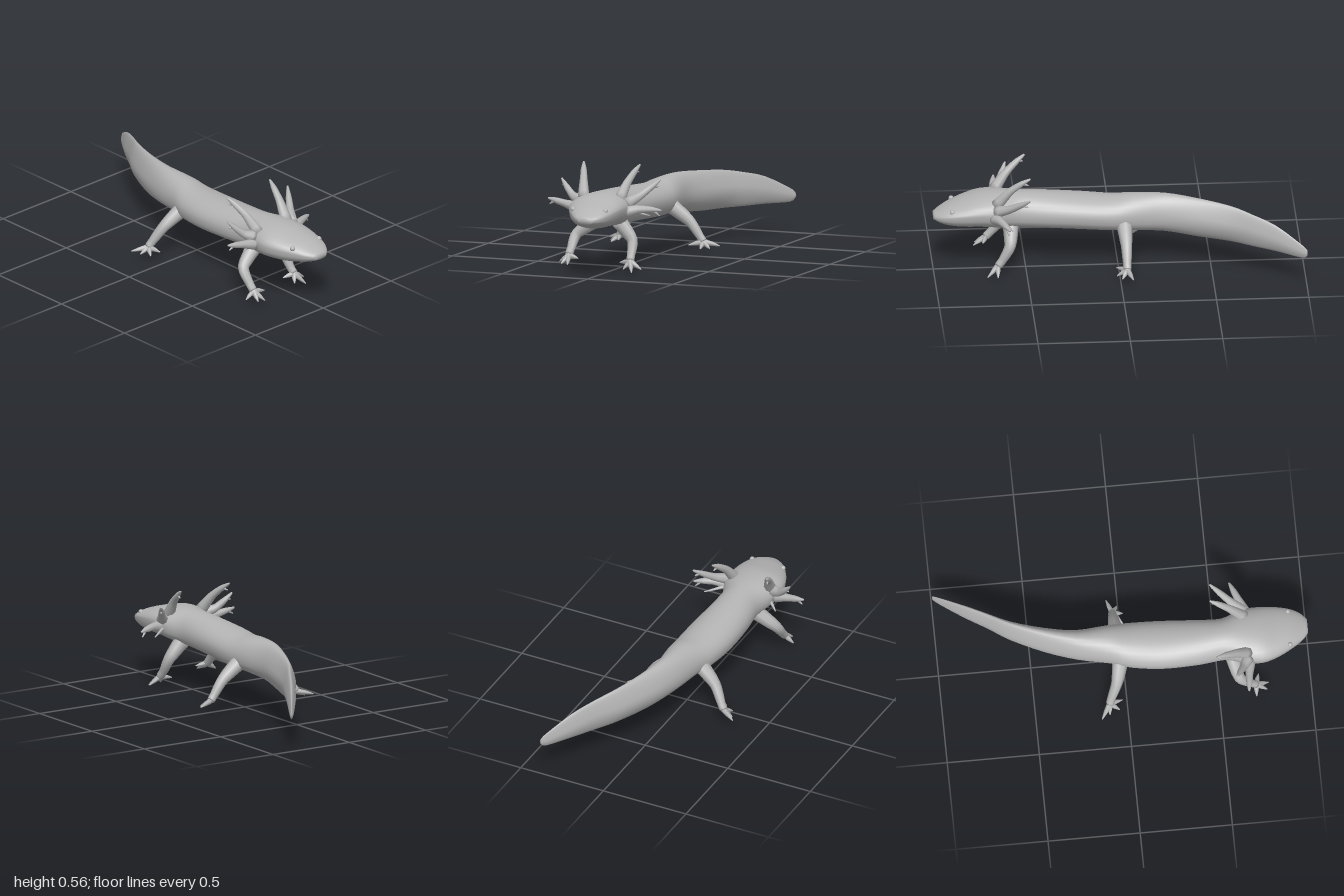
import * as THREE from 'three';

const skin = new THREE.MeshStandardMaterial({ color: 0xb4b4b4 });
skin.name = 'grey skin';

// Skins a list of equal-sized rings (counter-clockwise about the travel direction) and caps both ends
function loft(rings) {
  const n = rings[0].length, pos = [], idx = [];
  rings.forEach(r => r.forEach(p => pos.push(p.x, p.y, p.z)));
  for (let i = 0; i < rings.length - 1; i++) {
    for (let j = 0; j < n; j++) {
      const k = (j + 1) % n, a = i * n + j, b = i * n + k;
      idx.push(a, b, a + n, b, b + n, a + n);
    }
  }
  [0, rings.length - 1].forEach(i => {
    const c = new THREE.Vector3();
    rings[i].forEach(p => c.addScaledVector(p, 1 / n));
    const ci = pos.length / 3;
    pos.push(c.x, c.y, c.z);
    for (let j = 0; j < n; j++) {
      const a = i * n + j, b = i * n + (j + 1) % n;
      if (i === 0) idx.push(ci, b, a); else idx.push(ci, a, b);
    }
  });
  const g = new THREE.BufferGeometry();
  g.setAttribute('position', new THREE.Float32BufferAttribute(pos, 3));
  g.setIndex(idx);
  g.computeVertexNormals();
  return g;
}

// Tapered round limb through points [x, y, z, radius]
function limb(name, pts, steps = 10, sides = 8) {
  const curve = new THREE.CatmullRomCurve3(pts.map(p => new THREE.Vector3(p[0], p[1], p[2])), false, 'catmullrom', 0.35);
  const rings = [];
  for (let i = 0; i <= steps; i++) {
    const t = i / steps, f = t * (pts.length - 1), k = Math.min(Math.floor(f), pts.length - 2);
    const r = THREE.MathUtils.lerp(pts[k][3], pts[k + 1][3], f - k);
    const c = curve.getPoint(t), tan = curve.getTangent(t);
    const u = new THREE.Vector3(1, 0.2, 0.1).cross(tan).normalize();
    const v = tan.clone().cross(u);
    rings.push(Array.from({ length: sides }, (_, j) => {
      const a = j / sides * Math.PI * 2;
      return c.clone().addScaledVector(u, r * Math.cos(a)).addScaledVector(v, r * Math.sin(a));
    }));
  }
  return part(name, loft(rings));
}

function part(name, geometry) {
  const m = new THREE.Mesh(geometry, skin);
  m.name = name;
  return m;
}

// Trunk, tail and head: x, top, bottom, back z, front z, height of widest point
const SECTIONS = [
  [-1, 0.225, 0.19, -0.385, -0.37, 0.205],
  [-0.97, 0.25, 0.172, -0.372, -0.343, 0.205],
  [-0.84, 0.325, 0.175, -0.3, -0.24, 0.24],
  [-0.72, 0.36, 0.175, -0.235, -0.16, 0.26],
  [-0.6, 0.385, 0.177, -0.175, -0.075, 0.27],
  [-0.42, 0.403, 0.18, -0.117, 0.015, 0.28],
  [-0.25, 0.415, 0.198, -0.08, 0.075, 0.29],
  [-0.08, 0.412, 0.208, -0.09, 0.115, 0.3],
  [0.03, 0.398, 0.208, -0.095, 0.15, 0.3],
  [0.2, 0.405, 0.215, -0.088, 0.177, 0.31],
  [0.4, 0.42, 0.225, -0.072, 0.175, 0.315],
  [0.54, 0.43, 0.232, -0.065, 0.162, 0.32],
  [0.64, 0.432, 0.24, -0.1, 0.195, 0.34],
  [0.74, 0.425, 0.248, -0.105, 0.208, 0.35],
  [0.83, 0.402, 0.253, -0.1, 0.18, 0.345],
  [0.91, 0.378, 0.265, -0.085, 0.135, 0.335],
  [0.965, 0.352, 0.282, -0.06, 0.095, 0.325],
  [1, 0.333, 0.3, -0.025, 0.055, 0.317],
];

function bodyGeometry() {
  const A = new THREE.CatmullRomCurve3(SECTIONS.map(s => new THREE.Vector3(s[0], s[1], s[2])), false, 'catmullrom');
  const B = new THREE.CatmullRomCurve3(SECTIONS.map(s => new THREE.Vector3(s[3], s[4], s[5])), false, 'catmullrom');
  const rings = [], steps = (SECTIONS.length - 1) * 3, sides = 28;
  for (let i = 0; i <= steps; i++) {
    const a = A.getPoint(i / steps), b = B.getPoint(i / steps);
    const fin = 0.4 * (1 - THREE.MathUtils.smoothstep(a.x, -0.6, -0.1)); // tail narrows to a fin
    const mid = (b.x + b.y) / 2, half = (b.y - b.x) / 2;
    rings.push(Array.from({ length: sides }, (_, j) => {
      const t = j / sides * Math.PI * 2, c = Math.cos(t), s = Math.sin(t);
      const y = c > 0 ? b.z + (a.y - b.z) * c : b.z - (b.z - a.z) * Math.pow(-c, 0.8);
      return new THREE.Vector3(a.x, y, mid + half * s * (1 - fin * Math.abs(c)));
    }));
  }
  return loft(rings);
}

// Leg: shoulder, elbow and wrist points, palm point and toe tips
function leg(name, joints, palm, toes) {
  const g = new THREE.Group();
  g.name = name;
  const radii = [0.046, 0.031, 0.023, 0.022];
  g.add(limb('limb', [...joints, palm].map((p, i) => [...p, radii[i]]), 12));
  toes.forEach(t => {
    const m = palm.map((v, i) => v + (t[i] - v) * 0.55);
    g.add(limb('toe', [[...joints[2], 0.014], [...palm, 0.018], [...m, 0.012], [...t, 0.003]], 6, 6));
  });
  return g;
}

// Feathery gill: curved stalk with a small spur by the tip
function gill(root, tip, sag) {
  const g = new THREE.Group();
  g.name = 'gill';
  const at = (t, d) => root.map((v, i) => v + (tip[i] - v) * t + (i === 1 ? d : 0));
  const bend = at(0.75, -sag * 0.6);
  g.add(limb('stalk', [[...root, 0.034], [...at(0.38, -sag), 0.022], [...bend, 0.016], [...tip, 0.005]], 10));
  g.add(limb('spur', [[...bend, 0.012], [...at(0.95, -0.03), 0.003]], 3, 6));
  return g;
}

export function createModel() {
  const model = new THREE.Group();
  model.name = 'salamander';
  model.add(part('body', bodyGeometry()));

  // Legs
  model.add(
    leg('leftFrontLeg', [[0.58, 0.27, 0.11], [0.61, 0.185, 0.225], [0.67, 0.11, 0.235]], [0.7, 0.078, 0.235],
      [[0.7, 0.04, 0.29], [0.76, 0.038, 0.255], [0.77, 0.036, 0.215], [0.72, 0.066, 0.172]]),
    leg('rightFrontLeg', [[0.58, 0.26, -0.01], [0.59, 0.165, -0.09], [0.63, 0.09, -0.1]], [0.655, 0.058, -0.105],
      [[0.64, 0.045, -0.038], [0.69, 0.016, -0.078], [0.715, 0.004, -0.138], [0.66, 0.016, -0.172]]),
    leg('leftHindLeg', [[-0.02, 0.27, 0.09], [-0.05, 0.19, 0.195], [-0.085, 0.105, 0.25]], [-0.095, 0.075, 0.27],
      [[-0.145, 0.056, 0.35], [-0.1, 0.045, 0.325], [-0.045, 0.045, 0.3], [-0.025, 0.06, 0.25]]),
    leg('rightHindLeg', [[-0.03, 0.27, -0.05], [-0.035, 0.185, -0.165], [-0.035, 0.105, -0.225]], [-0.035, 0.078, -0.245],
      [[-0.062, 0.055, -0.33], [-0.005, 0.045, -0.295], [0.022, 0.045, -0.25], [0.02, 0.062, -0.18]]),
  );

  // Gills, three on each side
  [
    [[0.66, 0.39, 0.165], [0.49, 0.56, 0.235], -0.02],
    [[0.66, 0.375, 0.19], [0.59, 0.478, 0.322], 0.02],
    [[0.67, 0.335, 0.195], [0.65, 0.376, 0.377], 0],
    [[0.66, 0.39, -0.045], [0.48, 0.56, -0.09], -0.02],
    [[0.66, 0.37, -0.085], [0.49, 0.485, -0.212], 0.01],
    [[0.67, 0.33, -0.09], [0.6, 0.335, -0.265], -0.01],
  ].forEach(a => model.add(gill(...a)));

  // Short barbs below the gills
  model.add(limb('barb', [[0.64, 0.32, 0.18], [0.61, 0.28, 0.226, ]].map((p, i) => [...p, i ? 0.003 : 0.014]), 3, 6));
  model.add(limb('barb', [[0.64, 0.33, -0.09], [0.58, 0.3, -0.19]].map((p, i) => [...p, i ? 0.003 : 0.014]), 3, 6));

  // Eyes
  [[0.895, 0.362, 0.128], [0.9, 0.362, -0.062]].forEach(p => {
    const eye = part('eye', new THREE.SphereGeometry(0.014, 12, 8));
    eye.position.set(...p);
    model.add(eye);
  });
  return model;
}
